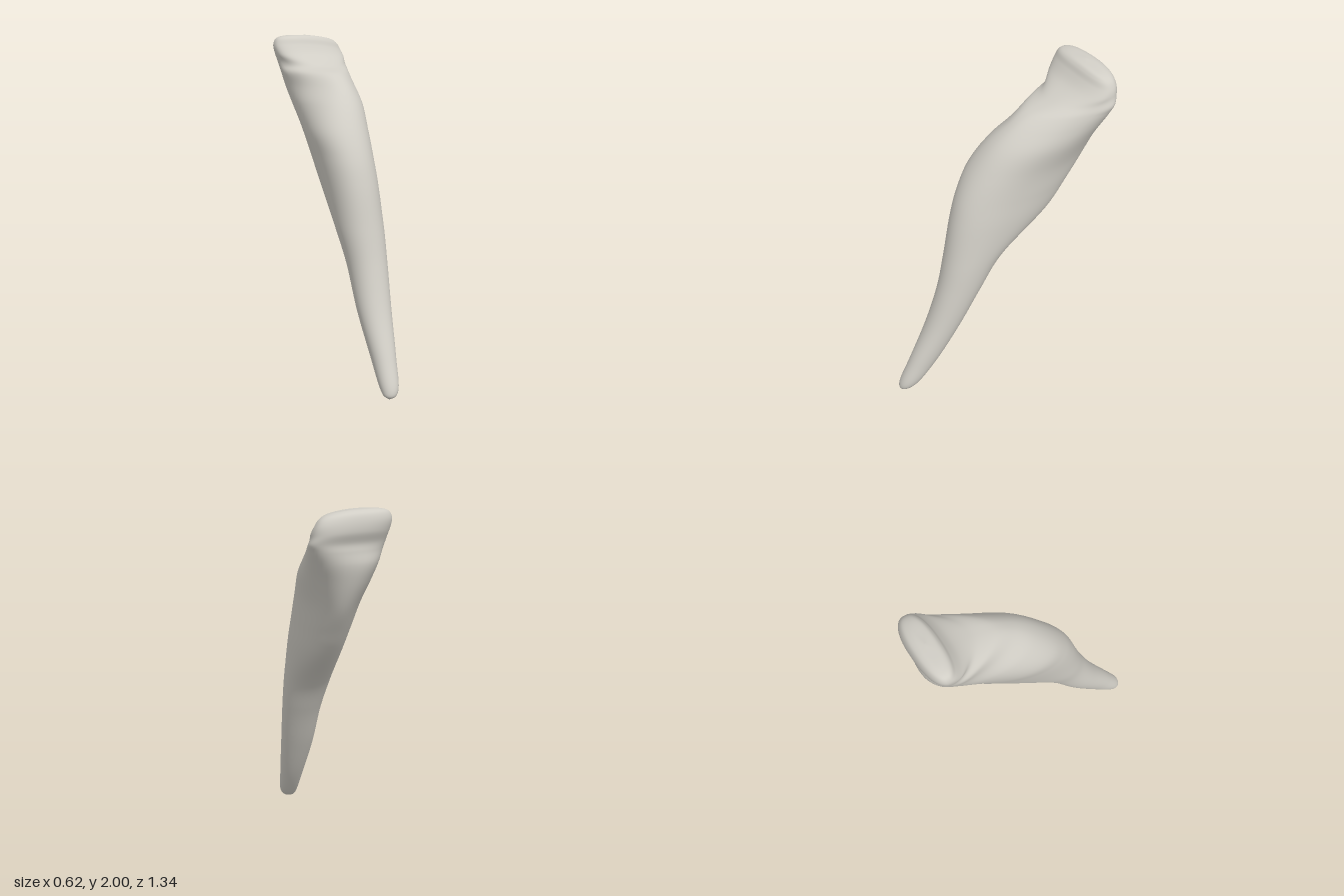
import * as THREE from 'three';

const SIDES = 56, ROWS = 150;
const { smoothstep, mapLinear, degToRad } = THREE.MathUtils;

// Each slice from root tip to biting edge: y, x min, x max, z back, z front, width / depth
const SLICES = [
  [0.00, 0.245, 0.255, 0.640, 0.650, 0.9],
  [0.015, 0.220, 0.288, 0.600, 0.667, 0.9],
  [0.05, 0.203, 0.306, 0.550, 0.665, 0.9],
  [0.20, 0.165, 0.307, 0.425, 0.597, 0.82],
  [0.45, 0.103, 0.300, 0.268, 0.482, 0.9],
  [0.70, 0.057, 0.292, 0.130, 0.398, 0.87],
  [0.90, 0.002, 0.281, 0.000, 0.352, 0.78],
  [1.15, -0.067, 0.258, -0.300, 0.302, 0.52],
  [1.30, -0.110, 0.238, -0.415, 0.258, 0.49],
  [1.45, -0.155, 0.219, -0.515, 0.185, 0.51],
  [1.60, -0.205, 0.202, -0.583, 0.070, 0.58],
  [1.70, -0.240, 0.174, -0.622, -0.040, 0.72],
  [1.77, -0.262, 0.160, -0.643, -0.140, 1.0],
  [1.815, -0.276, 0.152, -0.655, -0.275, 1.5],
  [1.88, -0.297, 0.140, -0.667, -0.350, 2.2],
  [1.94, -0.309, 0.122, -0.662, -0.390, 2.7],
  [1.978, -0.293, 0.098, -0.643, -0.412, 3.0],
  [1.995, -0.245, 0.055, -0.605, -0.445, 3.2],
  [2.00, -0.110, -0.090, -0.532, -0.522, 3.0],
];

// Turned superellipse, fitted to the extents of its slice
function ring([y, x0, x1, z0, z1, ratio]) {
  // the crown is turned further than the root, and squarer
  const turn = degToRad(10 + 14 * smoothstep(y, 1.5, 1.88));
  const power = 2.1 + 0.35 * smoothstep(y, 1.5, 1.88);
  // the neck narrows toward the back, the bulge under the crown toward the front
  const narrow = 0.7 * smoothstep(y, 1.45, 1.8) - 0.22 * smoothstep(y, 0.8, 1.2)
    - 0.48 * smoothstep(y, 1.78, 1.9);
  const c = Math.cos(turn), s = Math.sin(turn);
  const bend = (v) => Math.sign(v) * Math.abs(v) ** (2 / power);
  const pts = [];
  for (let j = 0; j < SIDES; j++) {
    const t = (j / SIDES) * Math.PI * 2;
    const d = bend(Math.sin(t));
    const w = ratio * bend(Math.cos(t)) * (1 - narrow * d);
    pts.push(new THREE.Vector3(w * c + d * s, y, -w * s + d * c));
  }
  const box = new THREE.Box3().setFromPoints(pts);
  for (const p of pts) {
    p.x = mapLinear(p.x, box.min.x, box.max.x, x0, x1);
    p.z = mapLinear(p.z, box.min.z, box.max.z, z0, z1);
    // biting edge slopes down toward the left
    p.y -= smoothstep(y, 1.82, 1.98) * 0.5 * Math.max(0, p.x + 0.15) ** 2;
  }
  return pts;
}

// Smooth skin running lengthwise through all rings
function loft(rings) {
  const pos = [], index = [];
  const curves = rings[0].map((_, j) => new THREE.CatmullRomCurve3(rings.map((r) => r[j])));
  for (let i = 0; i <= ROWS; i++) {
    for (let j = 0; j < SIDES; j++) {
      const p = curves[j].getPoint(i / ROWS);
      pos.push(p.x, p.y, p.z);
      if (i === ROWS) continue;
      const k = (j + 1) % SIDES, r = i * SIDES, n = r + SIDES;
      index.push(r + j, n + j, r + k, r + k, n + j, n + k);
    }
  }
  // close both ends
  const end = ROWS * SIDES;
  for (let j = 1; j < SIDES - 1; j++) {
    index.push(0, j, j + 1, end, end + j + 1, end + j);
  }
  const geo = new THREE.BufferGeometry();
  geo.setAttribute('position', new THREE.Float32BufferAttribute(pos, 3));
  geo.setIndex(index);
  geo.computeVertexNormals();
  return geo;
}

export function createModel() {
  const enamel = new THREE.MeshStandardMaterial({ color: 0xd0cdc5 });
  enamel.name = 'enamel';

  const group = new THREE.Group();
  group.name = 'incisorTooth';
  const tooth = new THREE.Mesh(loft(SLICES.map(ring)), enamel);
  tooth.name = 'crownAndRoot';
  group.add(tooth);
  return group;
}
